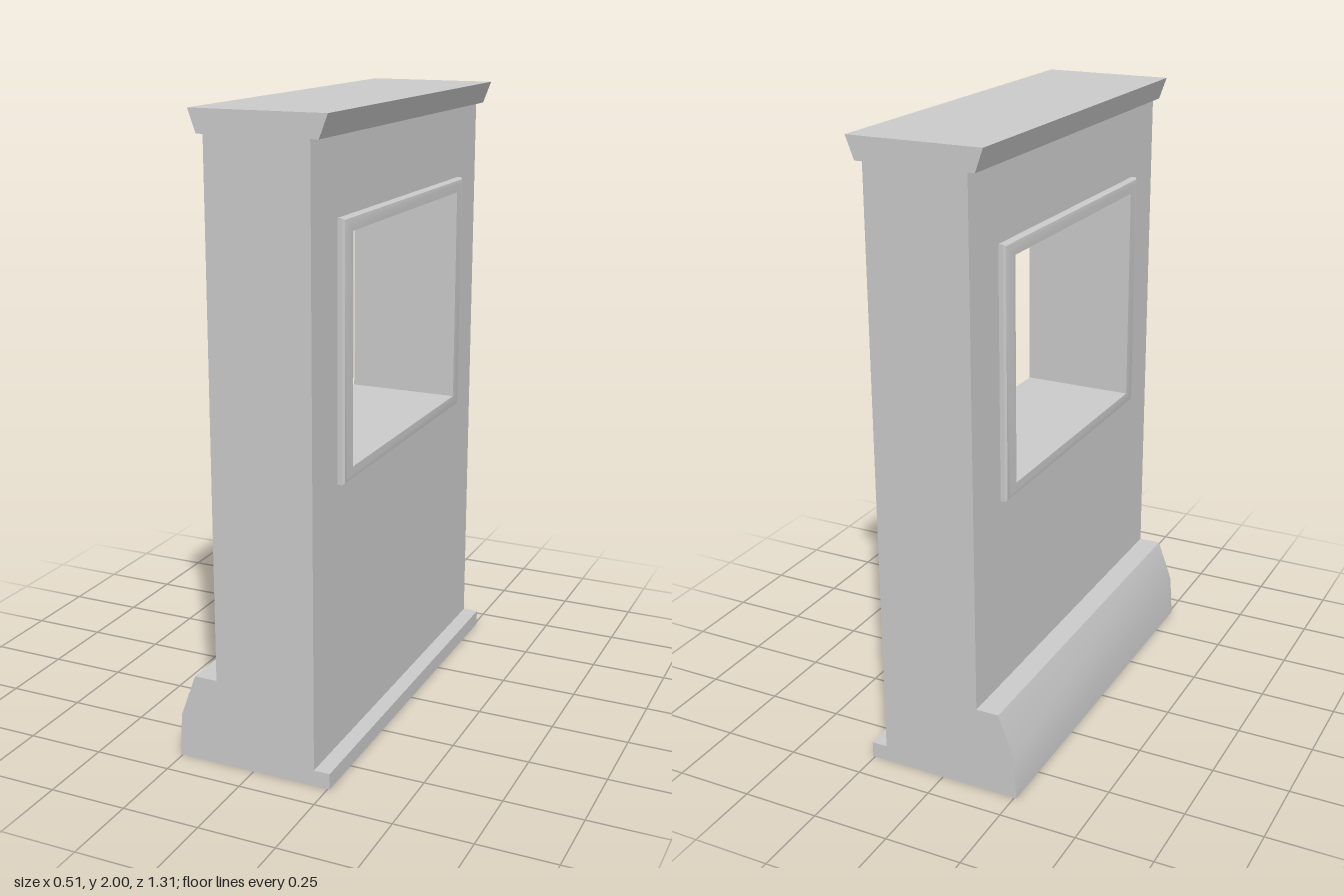
import * as THREE from 'three';
import { toCreasedNormals } from 'three/addons/utils/BufferGeometryUtils.js';

const DEPTH = 1.31, HALF = DEPTH / 2;
const BACK = -0.123, FRONT = 0.205;
const OPENING = { w: 0.423, y0: 0.947, y1: 1.652 };
const FRAME = { w: 0.483, y0: 0.905, y1: 1.695 };

const material = new THREE.MeshStandardMaterial({ color: 0xcccccc });

function addMesh(group, name, geometry) {
  const mesh = new THREE.Mesh(toCreasedNormals(geometry, 0.5), material);
  mesh.name = name;
  group.add(mesh);
  return mesh;
}

// Moulding: an (x, y) profile run along the full length of the wall
function moulding(points) {
  const shape = new THREE.Shape(points.map(([x, y]) => new THREE.Vector2(x, y)));
  return new THREE.ExtrudeGeometry(shape, { depth: DEPTH, bevelEnabled: false }).translate(0, 0, -HALF);
}

// Wall slab pierced by the rectangular opening
function wallGeometry() {
  const rect = (w, y0, y1) => [[-w, y0], [w, y0], [w, y1], [-w, y1]].map(([x, y]) => new THREE.Vector2(x, y));
  const shape = new THREE.Shape(rect(HALF, 0, 2));
  shape.holes.push(new THREE.Path(rect(OPENING.w, OPENING.y0, OPENING.y1)));
  return new THREE.ExtrudeGeometry(shape, { depth: FRONT - BACK, bevelEnabled: false })
    .rotateY(Math.PI / 2).translate(BACK, 0, 0);
}

// Mitred window surround facing +x, lofted through rectangular rings
function frameGeometry() {
  // [inset from outer edge to opening, projection from wall]
  const profile = [[0, 0], [0, 0.014], [0.12, 0.02], [0.4, 0.023], [1, 0.023], [1, 0]];
  const rings = profile.map(([t, x]) => {
    const w = THREE.MathUtils.lerp(FRAME.w, OPENING.w, t);
    const y0 = THREE.MathUtils.lerp(FRAME.y0, OPENING.y0, t);
    const y1 = THREE.MathUtils.lerp(FRAME.y1, OPENING.y1, t);
    return [[x, y0, w], [x, y0, -w], [x, y1, -w], [x, y1, w]];
  });
  const positions = [];
  for (let i = 0; i < rings.length - 1; i++) {
    for (let j = 0; j < 4; j++) {
      const k = (j + 1) % 4;
      const a = rings[i][j], b = rings[i][k], c = rings[i + 1][k], d = rings[i + 1][j];
      positions.push(...a, ...b, ...c, ...a, ...c, ...d);
    }
  }
  const geometry = new THREE.BufferGeometry();
  geometry.setAttribute('position', new THREE.Float32BufferAttribute(positions, 3));
  geometry.computeVertexNormals();
  return geometry;
}

export function createModel() {
  const group = new THREE.Group();
  group.name = 'wallWithWindow';

  addMesh(group, 'wall', wallGeometry());

  // Flared cornice along both top edges
  addMesh(group, 'frontCornice', moulding([[FRONT, 1.93], [0.23, 1.93], [0.257, 2], [FRONT, 2]]));
  addMesh(group, 'backCornice', moulding([[BACK, 2], [-0.17, 2], [-0.145, 1.93], [BACK, 1.93]]));

  // Low skirting on one side, tall sloped plinth on the other
  addMesh(group, 'skirting', moulding([[FRONT, 0], [0.257, 0], [0.257, 0.052], [FRONT, 0.052]]));
  addMesh(group, 'plinth', moulding([[BACK, 0], [BACK, 0.28], [-0.198, 0.28], [-0.249, 0.14], [-0.258, 0]]));

  // Window surrounds on both faces
  addMesh(group, 'frontWindowFrame', frameGeometry()).position.x = FRONT;
  const backFrame = addMesh(group, 'backWindowFrame', frameGeometry());
  backFrame.position.x = BACK;
  backFrame.rotation.y = Math.PI;

  return group;
}
